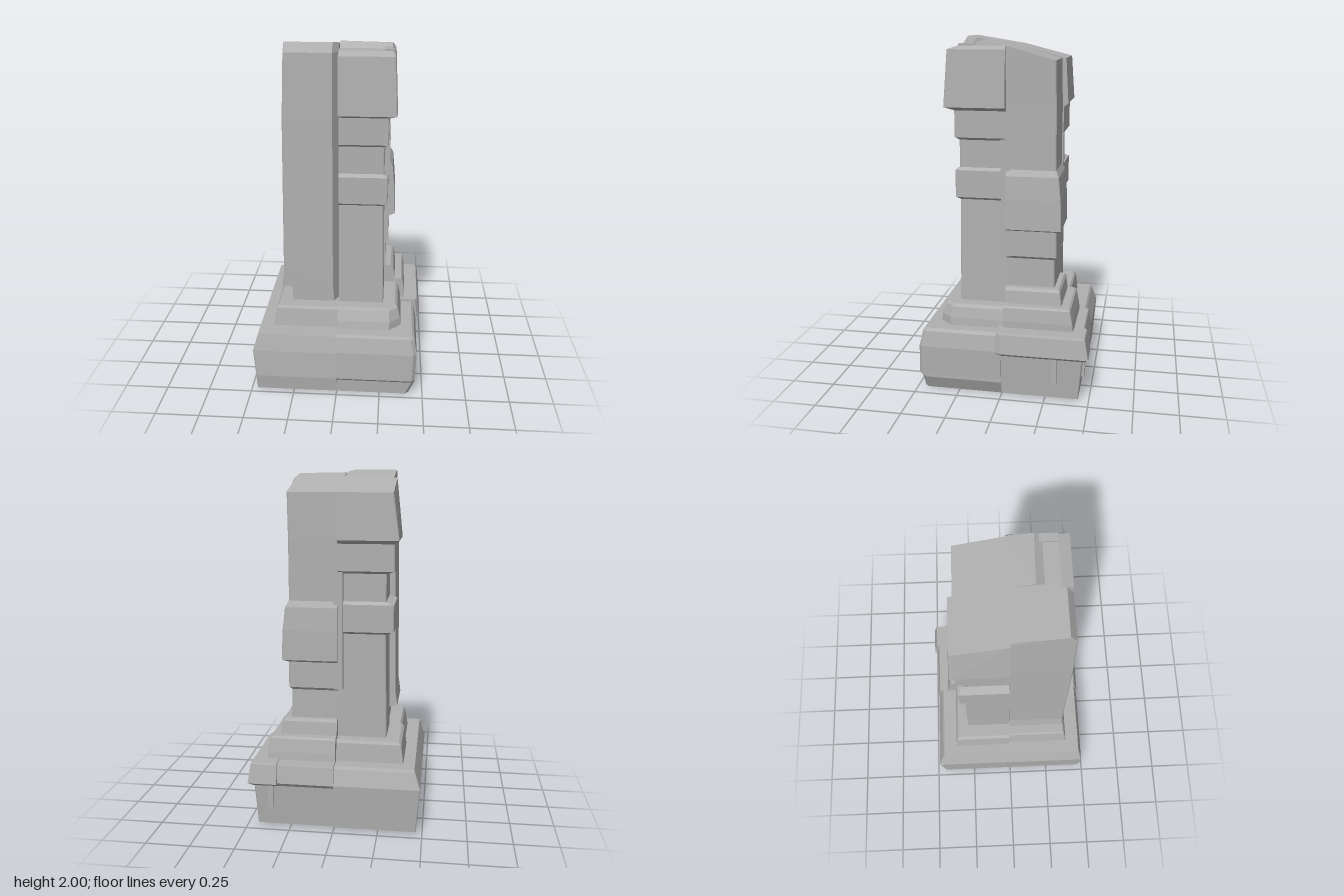
import * as THREE from 'three';

const stone = new THREE.MeshStandardMaterial({ color: 0xb0b0b0 });
stone.name = 'grey stone';

// Faceted closed solid through counter-clockwise rings, listed bottom to top
function loft(rings, flip) {
  const pos = [];
  const tri = (a, b, c) => pos.push(...a, ...(flip ? c : b), ...(flip ? b : c));
  const n = rings[0].length;
  for (let r = 0; r + 1 < rings.length; r++) {
    const a = rings[r], b = rings[r + 1];
    for (let i = 0; i < n; i++) {
      const j = (i + 1) % n;
      tri(a[i], a[j], b[j]);
      tri(a[i], b[j], b[i]);
    }
  }
  const lo = rings[0], hi = rings[rings.length - 1];
  for (let i = 1; i + 1 < n; i++) {
    tri(lo[0], lo[i + 1], lo[i]);
    tri(hi[0], hi[i], hi[i + 1]);
  }
  const g = new THREE.BufferGeometry();
  g.setAttribute('position', new THREE.Float32BufferAttribute(pos, 3));
  g.computeVertexNormals();
  return g;
}

// One quarter of the pillar. Section: [y, x reach, z reach, chamfer, y at the outer z edge].
// bevel slants the inner seam edge on the front/back face.
function quarter(sx, sz, sections, bevel = 0) {
  const rings = sections.map(([y, X, Z, k = 0.005, yo = y]) => [
    [0, y, 0], [0, y + (yo - y) * (Z - bevel * 2) / Z, Z - bevel * 2], [bevel, yo, Z],
    [X - k, yo, Z], [X, y + (yo - y) * (Z - k) / Z, Z - k], [X, y, 0],
  ].map(([x, h, z]) => [sx * x, h, sz * z]));
  return loft(rings, sx * sz < 0);
}

export function createModel() {
  const group = new THREE.Group();
  const add = (name, geometry) => {
    const m = new THREE.Mesh(geometry, stone);
    m.name = name;
    group.add(m);
    return m;
  };
  const box = (name, w, h, d, x, y, z) =>
    add(name, new THREE.BoxGeometry(w, h, d)).position.set(x, y, z);

  // Base quarters
  add('baseFrontLeft', quarter(1, 1, [
    [0, 0.42, 0.46, 0.02], [0.08, 0.455, 0.465, 0.02], [0.1, 0.455, 0.485, 0.02],
    [0.27, 0.46, 0.48, 0.02], [0.36, 0.445, 0.46, 0.02], [0.375, 0.43, 0.45, 0.02]]));
  add('baseFrontRight', quarter(-1, 1, [
    [0.01, 0.465, 0.475], [0.1, 0.47, 0.485], [0.26, 0.485, 0.475],
    [0.36, 0.455, 0.455], [0.375, 0.45, 0.45]]));
  add('baseBackRight', quarter(-1, -1, [
    [0.01, 0.465, 0.45], [0.27, 0.485, 0.47], [0.36, 0.455, 0.44], [0.375, 0.45, 0.43]]));
  add('baseBackLeft', quarter(1, -1, [
    [0.01, 0.44, 0.44], [0.25, 0.455, 0.46], [0.27, 0.46, 0.475],
    [0.37, 0.455, 0.46], [0.385, 0.45, 0.455]]));

  // Overhanging lip at the back left corner, with its small ribs below
  const lip = [[0.25, 0.46, 0.465], [0.27, 0.485, 0.495], [0.38, 0.47, 0.475], [0.39, 0.465, 0.47]];
  add('baseLip', loft(lip.map(([y, X, Z]) => [
    [0.32, y, -Z], [0.32, y, -0.35], [0.35, y, 0.03], [X - 0.015, y, 0.03], [X, y, 0], [X, y, -Z]])));
  box('sideRib', 0.03, 0.17, 0.03, 0.45, 0.185, -0.305);
  box('backRib', 0.03, 0.15, 0.03, 0.36, 0.195, -0.452);

  // Stepped plinth quarters
  add('plinthFrontLeft', quarter(1, 1, [
    [0.37, 0.365, 0.385, 0.07], [0.42, 0.36, 0.375, 0.06], [0.48, 0.345, 0.35, 0.05],
    [0.495, 0.33, 0.34, 0.05]]));
  add('plinthFrontRight', quarter(-1, 1, [
    [0.37, 0.375, 0.37], [0.48, 0.355, 0.355], [0.495, 0.345, 0.345]]));
  add('plinthBackRight', quarter(-1, -1, [
    [0.37, 0.385, 0.35], [0.48, 0.37, 0.34], [0.495, 0.355, 0.33]]));
  add('plinthBackLeft', quarter(1, -1, [
    [0.385, 0.385, 0.4], [0.43, 0.385, 0.395], [0.505, 0.375, 0.38], [0.515, 0.365, 0.37],
    [0.515, 0.325, 0.325], [0.59, 0.315, 0.315], [0.605, 0.3, 0.305]]));

  // Tall plain slab at the front right
  add('tallSlab', quarter(-1, 1, [
    [0.48, 0.27, 0.275], [0.595, 0.27, 0.275], [0.61, 0.325, 0.33], [0.7, 0.312, 0.33],
    [1.6, 0.3, 0.325], [1.945, 0.287, 0.315, 0.005, 1.95],
    [1.955, 0.285, 0.28, 0.005, 2]], 0.03));

  // Banded shaft shared by two quarters, scaled by the reach of each band
  const bands = (X, Z, bx, bz) => [
    [0.48, X + 0.01, Z + 0.005], [1.1, X, Z],
    [1.115, X + bx, Z + bz], [1.27, X + bx, Z + bz], [1.285, X, Z],
    [1.44, X, Z], [1.455, X + bx, Z + bz], [1.605, X + bx, Z + bz]];
  add('shaftFrontLeft', quarter(1, 1, [
    ...bands(0.25, 0.27, 0.022, 0.022),
    [1.625, 0.315, 0.342], [1.935, 0.3, 0.32], [1.955, 0.285, 0.26]]));
  add('shaftBackRight', quarter(-1, -1, [
    ...bands(0.27, 0.26, 0.045, 0.025),
    [1.625, 0.34, 0.31], [1.955, 0.305, 0.295, 0.005, 1.88]]));

  // Plain back left shaft with one deep collar and a lower tab
  add('shaftBackLeft', quarter(1, -1, [
    [0.5, 0.265, 0.28], [0.77, 0.265, 0.275], [0.785, 0.28, 0.287], [0.935, 0.28, 0.287],
    [0.95, 0.315, 0.315], [1.12, 0.308, 0.31], [1.25, 0.295, 0.297], [1.285, 0.275, 0.28],
    [1.62, 0.275, 0.278], [1.955, 0.28, 0.272, 0.005, 1.88]]));

  // Narrow upright keys where the quarters meet
  box('sideKey', 0.06, 0.67, 0.05, 0.25, 1.115, 0.005);
  box('backKey', 0.05, 0.67, 0.06, -0.005, 1.115, -0.258);

  // Low ridge across the top of the front left head
  add('topRidge', loft([
    [[0, 1.94, 0], [0, 1.94, 0.18], [0.285, 1.94, 0.18], [0.285, 1.94, 0]],
    [[0, 1.955, 0], [0, 1.955, 0.18], [0.285, 1.955, 0.18], [0.285, 1.955, 0]],
    [[0, 1.985, 0.125], [0, 1.985, 0.135], [0.28, 1.98, 0.14], [0.28, 1.98, 0.13]]]));
  // Raised end of the top recess
  box('topRecessEnd', 0.045, 0.03, 0.1, 0.262, 1.95, 0.21);

  return group;
}
